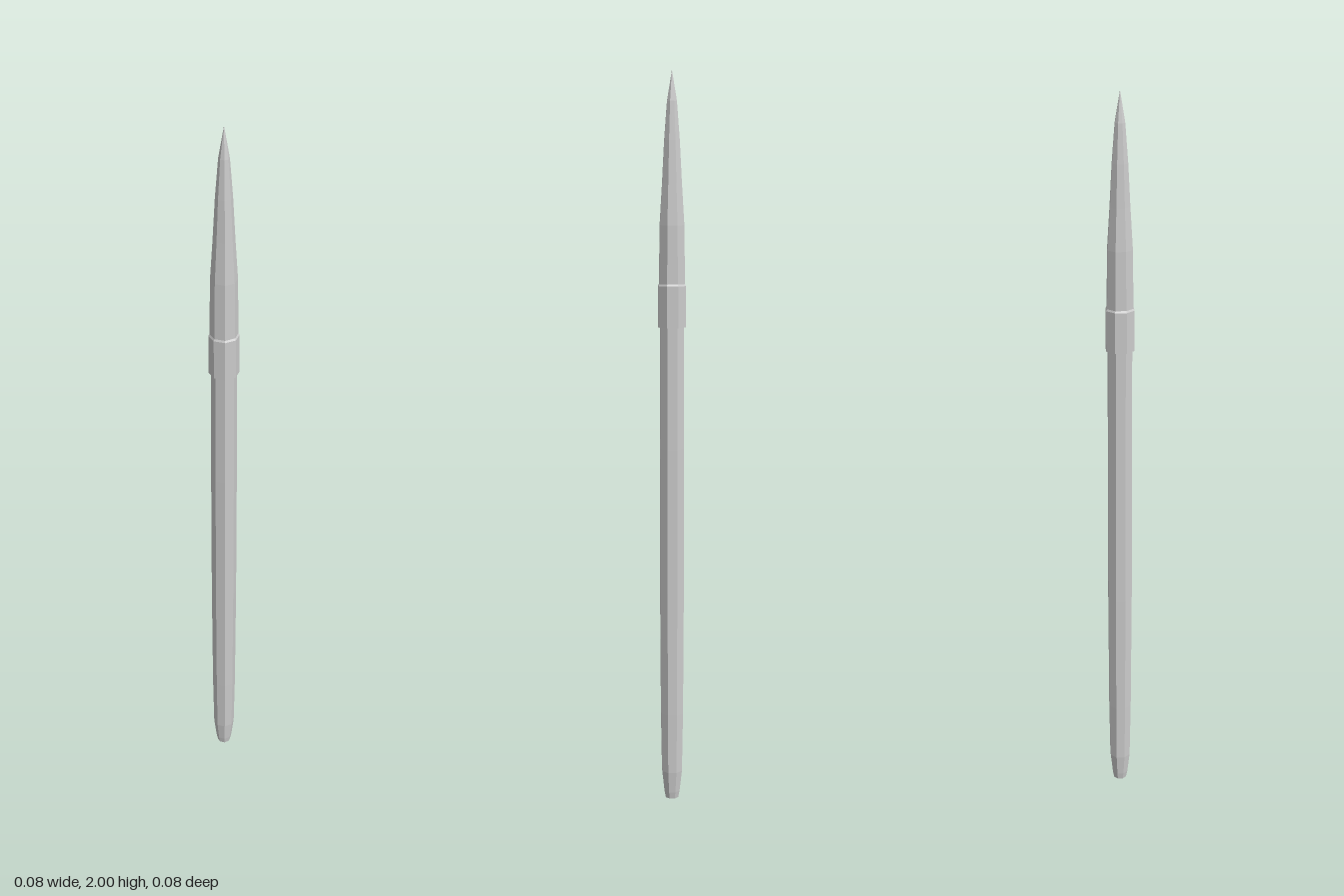
import * as THREE from 'three';

const material = new THREE.MeshStandardMaterial({ color: 0xcccccc, flatShading: true });

// Eight-sided turned part from [radius, height] pairs, listed bottom to top
function turned(name, profile) {
  const points = profile.map(([r, y]) => new THREE.Vector2(r, y));
  const mesh = new THREE.Mesh(new THREE.LatheGeometry(points, 8), material);
  mesh.name = name;
  return mesh;
}

export function createModel() {
  const group = new THREE.Group();
  group.name = 'slenderPointedRod';

  // Long shaft with a tapered, closed butt
  group.add(turned('shaft', [
    [0, 0], [0.019, 0], [0.023, 0.02], [0.03, 0.08], [0.033, 0.25],
    [0.035, 0.6], [0.035, 1.0], [0.034, 1.34],
  ]));

  // Raised collar at the base of the head
  group.add(turned('collar', [
    [0.03, 1.33], [0.04, 1.33], [0.04, 1.4], [0.04, 1.44], [0.037, 1.445],
  ]));

  // Head narrowing to a sharp point
  group.add(turned('head', [
    [0.037, 1.445], [0.035, 1.6], [0.028, 1.71], [0.022, 1.82], [0.014, 1.92], [0, 2],
  ]));

  return group;
}
